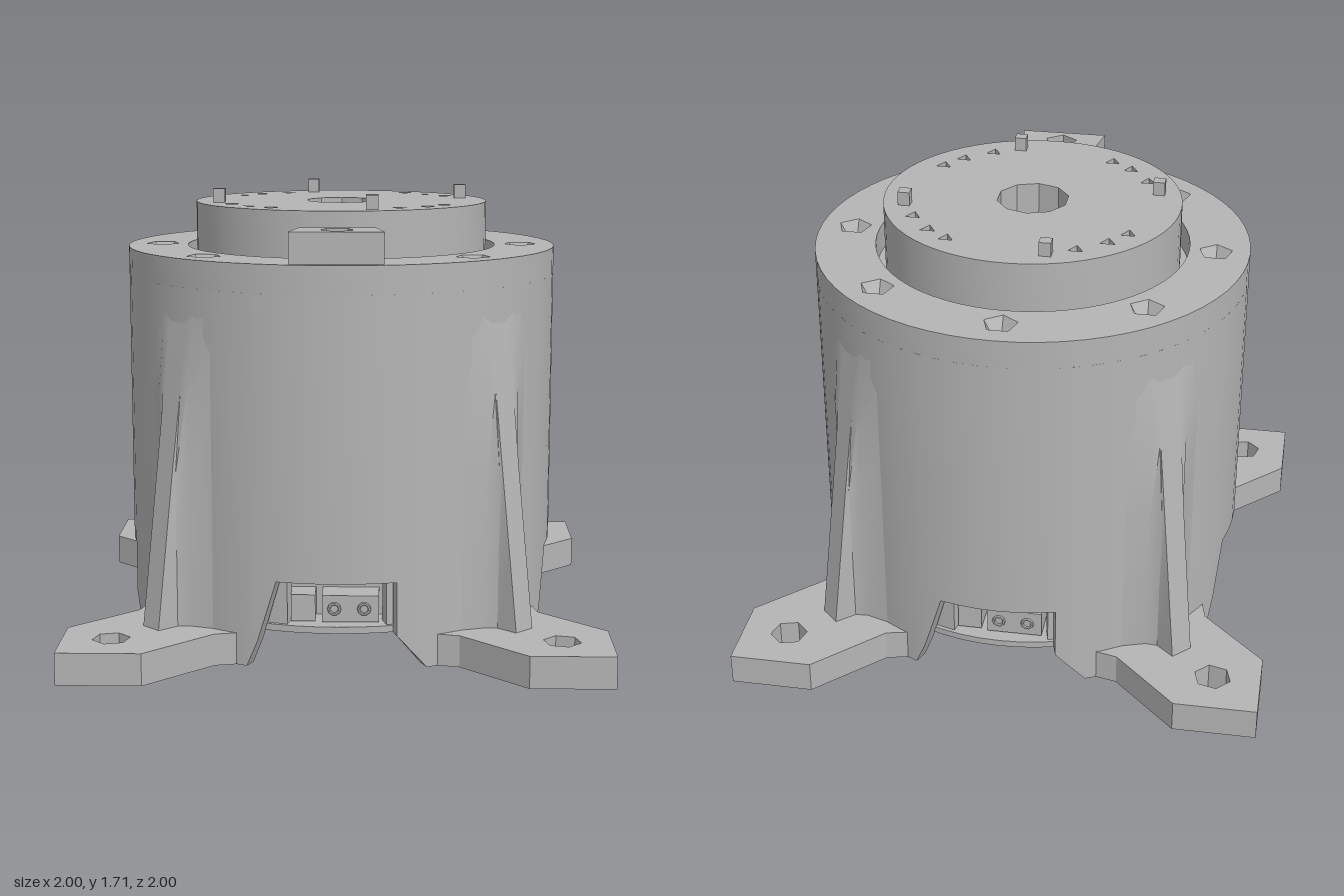
import * as THREE from 'three';
import { toCreasedNormals } from 'three/addons/utils/BufferGeometryUtils.js';

const grey = new THREE.MeshStandardMaterial({ color: 0xb5b5b5, side: THREE.DoubleSide });
grey.name = 'housing grey';

const TAU = Math.PI * 2;
const part = (parent, name, geo, crease = 0.5) => {
  const mesh = new THREE.Mesh(toCreasedNormals(geo, crease), grey);
  mesh.name = name;
  parent.add(mesh);
  return mesh;
};

// Regular polygon hole around (x, z)
const polygon = (x, z, r, sides) => {
  const pts = [];
  for (let i = 0; i < sides; i++) {
    const a = (i / sides) * TAU;
    pts.push(new THREE.Vector2(x + r * Math.sin(a), z + r * Math.cos(a)));
  }
  return new THREE.Path(pts);
};

const disc = (r, holes = []) => {
  const s = new THREE.Shape();
  s.absarc(0, 0, r, 0, TAU, false);
  s.holes.push(...holes);
  return s;
};

// Horizontal plate drawn in (x, z), hanging down from its top
const slab = (shape, top, depth) =>
  new THREE.ExtrudeGeometry(shape, { depth, bevelEnabled: false, curveSegments: 32 })
    .rotateX(Math.PI / 2).translate(0, top, 0);

// Skin over rows of points
const loft = (rows, closed) => {
  const n = rows[0].length, index = [];
  for (let i = 0; i < rows.length - 1; i++) {
    for (let j = 0; j < (closed ? n : n - 1); j++) {
      const k = (j + 1) % n, a = i * n, b = a + n;
      index.push(a + j, a + k, b + k, a + j, b + k, b + j);
    }
  }
  const geo = new THREE.BufferGeometry();
  geo.setAttribute('position', new THREE.Float32BufferAttribute(rows.flat(2), 3));
  geo.setIndex(index);
  return geo;
};

// Outer shell whose lower edge has a notch on each side
function shellGeometry() {
  const key = [[-0.41, 0], [-0.357, 0.1], [-0.268, 0.33], [0.268, 0.33],
    [0.268, 0.13], [0.41, 0], [Math.PI / 2 - 0.41, 0]];
  const rows = [];
  const station = (a, y) => {
    const s = Math.sin(a), c = Math.cos(a);
    rows.push([[0.83 * s, 1.38, 0.83 * c], [0.83 * s, y, 0.83 * c],
      [0.775 * s, y, 0.775 * c], [0.775 * s, 1.38, 0.775 * c]]);
  };
  for (let q = 0; q < 4; q++) {
    for (let k = 0; k < key.length - 1; k++) {
      const [a0, y0] = key[k], [a1, y1] = key[k + 1];
      const steps = Math.max(1, Math.ceil((a1 - a0) / 0.09));
      for (let i = 0; i < steps; i++) {
        const t = i / steps;
        station(a0 + (a1 - a0) * t + q * Math.PI / 2, y0 + (y1 - y0) * t);
      }
    }
  }
  rows.push(rows[0]);
  return loft(rows, true);
}

// Tapering rib with flared roots, pointing along +x
function ribGeometry() {
  const rows = [0.1, 0.4, 0.7, 1.0, 1.2, 1.36].map((y) => {
    const d = 0.15 - 0.165 * (y - 0.1) / 1.26;
    const half = [[0.80, 0.19], [0.83 + Math.min(d, 0.025), 0.08],
      [0.83 + Math.min(d, 0.06), 0.05], [0.83 + d, 0.045]];
    return [...half.map(([r, t]) => [r, y, t]),
      ...half.reverse().map(([r, t]) => [r, y, -t])];
  });
  return loft(rows, false);
}

// Mounting foot with a pointed end, along +x
function footGeometry() {
  const s = new THREE.Shape();
  s.moveTo(0.76, -0.28);
  s.lineTo(0.856, -0.22);
  s.lineTo(1.195, -0.22);
  s.lineTo(1.414, 0);
  s.lineTo(1.195, 0.22);
  s.lineTo(0.856, 0.22);
  s.lineTo(0.76, 0.28);
  s.absarc(0, 0, 0.8, 0.353, -0.353, true);
  s.holes.push(polygon(1.16, 0, 0.07, 6));
  return slab(s, 0.12, 0.12);
}

export function createModel() {
  const model = new THREE.Group();
  model.name = 'motorHousing';
  const bore = () => polygon(0, 0, 0.137, 10);

  // Shell and its top ring with eight tapered screw pits
  part(model, 'shell', shellGeometry());
  const pits = Array.from({ length: 8 }, (_, i) =>
    [0.7 * Math.sin(i * TAU / 8), 0.7 * Math.cos(i * TAU / 8)]);
  const wide = new THREE.Path().absarc(0, 0, 0.6, 0, TAU, true);
  part(model, 'topRing', slab(
    disc(0.83, [wide, ...pits.map(([x, z]) => polygon(x, z, 0.065, 5))]), 1.485, 0.105));
  pits.forEach(([x, z]) => part(model, 'screwPit',
    new THREE.CylinderGeometry(0.065, 0.004, 0.1, 5, 1, true).translate(x, 1.435, z), 0.1));
  part(model, 'grooveFloor', slab(disc(0.8, [bore()]), 1.38, 0.02));

  // Rotor with small holes and four pegs
  const rotorHoles = [0.5, 0.78, 1.0].flatMap((a) =>
    [0, 1, 2, 3].map((k) => polygon(
      0.47 * Math.sin(a + k * TAU / 4), 0.47 * Math.cos(a + k * TAU / 4), 0.032, 3)));
  part(model, 'rotor', slab(disc(0.565, [bore(), ...rotorHoles]), 1.655, 0.27));
  for (let k = 0; k < 4; k++) {
    const a = 0.26 + k * TAU / 4;
    const peg = part(model, 'peg', new THREE.CylinderGeometry(0.032, 0.032, 0.08, 4));
    peg.position.set(0.483 * Math.sin(a), 1.668, 0.483 * Math.cos(a));
    peg.rotation.y = Math.PI / 4;
  }
  part(model, 'boreLining',
    new THREE.CylinderGeometry(0.137, 0.137, 1.52, 10, 1, true).translate(0, 0.89, 0));

  // Block over the front screw
  const block = new THREE.Shape([[-0.14, 0.615], [0.14, 0.615], [0.17, 0.79], [-0.17, 0.79]]
    .map(([x, z]) => new THREE.Vector2(x, z)));
  block.holes.push(polygon(0, 0.7, 0.065, 5));
  part(model, 'topBlock', slab(block, 1.6, 0.12));

  // Base plate and inner wall behind the notches
  part(model, 'basePlate', slab(disc(0.78, [bore()]), 0.155, 0.025));
  part(model, 'notchCeiling', slab(disc(0.79, [bore()]), 0.36, 0.035));
  for (const side of [0, 1]) {
    const wall = new THREE.Shape();
    const from = -Math.PI / 2 + 0.24 + side * Math.PI, to = Math.PI / 2 - 0.24 + side * Math.PI;
    wall.absarc(0, 0, 0.765, from, to, false);
    wall.absarc(0, 0, 0.7, to, from, true);
    part(model, 'innerWall', slab(wall, 0.33, 0.18));

    // Socket pocket, front and back
    const pocket = new THREE.Group();
    pocket.name = 'socketPocket';
    pocket.rotation.y = side * Math.PI;
    part(pocket, 'pocketBack', new THREE.BoxGeometry(0.4, 0.19, 0.02).translate(0, 0.24, 0.6));
    part(pocket, 'wideSocket', new THREE.BoxGeometry(0.21, 0.1, 0.12).translate(0.05, 0.21, 0.67));
    part(pocket, 'narrowSocket', new THREE.BoxGeometry(0.09, 0.1, 0.12).translate(-0.125, 0.21, 0.66));
    for (const x of [-0.01, 0.1]) {
      part(pocket, 'pinRing', new THREE.TorusGeometry(0.02, 0.006, 6, 10).translate(x, 0.21, 0.73));
    }
    model.add(pocket);
  }

  // Feet and ribs on the diagonals
  for (let k = 0; k < 4; k++) {
    const corner = new THREE.Group();
    corner.name = 'corner';
    corner.rotation.y = Math.PI / 4 + k * Math.PI / 2;
    part(corner, 'foot', footGeometry());
    part(corner, 'rib', ribGeometry());
    model.add(corner);
  }
  return model;
}
